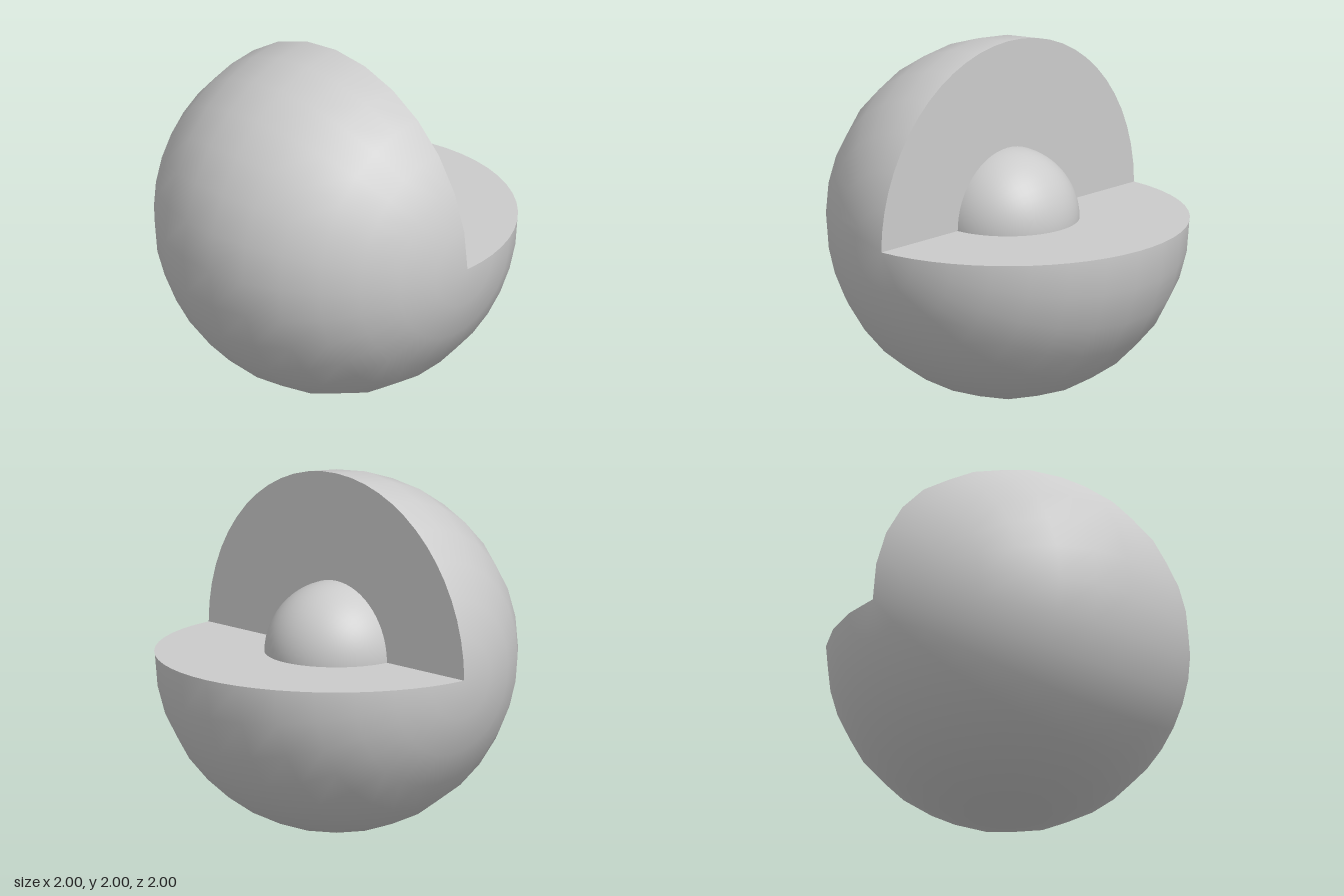
import * as THREE from 'three';

const RADIUS = 1;
const CORE_RADIUS = 0.395;

export function createModel() {
  const model = new THREE.Group();
  const material = new THREE.MeshStandardMaterial({ color: 0xcccccc });

  const add = (name, geometry) => {
    const mesh = new THREE.Mesh(geometry, material);
    mesh.name = name;
    mesh.position.y = RADIUS;
    model.add(mesh);
  };

  // Sphere wedge with its poles on the x axis; the angle runs from up (+y) to the front (+z)
  const wedge = (radius, segments, rows, start, sweep) =>
    new THREE.SphereGeometry(radius, segments, rows, start, sweep).rotateZ(-Math.PI / 2);

  // Half ring that closes the cut between shell and core
  const cutFace = () => new THREE.RingGeometry(CORE_RADIUS * 0.97, RADIUS, 28, 1, 0, Math.PI);

  // Outer shell: three quarters of a sphere, open at the upper back
  add('outerShell', wedge(RADIUS, 21, 14, 0, Math.PI * 1.5));

  // Core: the quarter ball exposed in the opening
  add('core', wedge(CORE_RADIUS, 12, 32, Math.PI * 1.5, Math.PI / 2));

  // Flat cut faces: one looks back, one looks up
  add('verticalCutFace', cutFace().rotateY(Math.PI));
  add('horizontalCutFace', cutFace().rotateX(-Math.PI / 2));

  return model;
}
